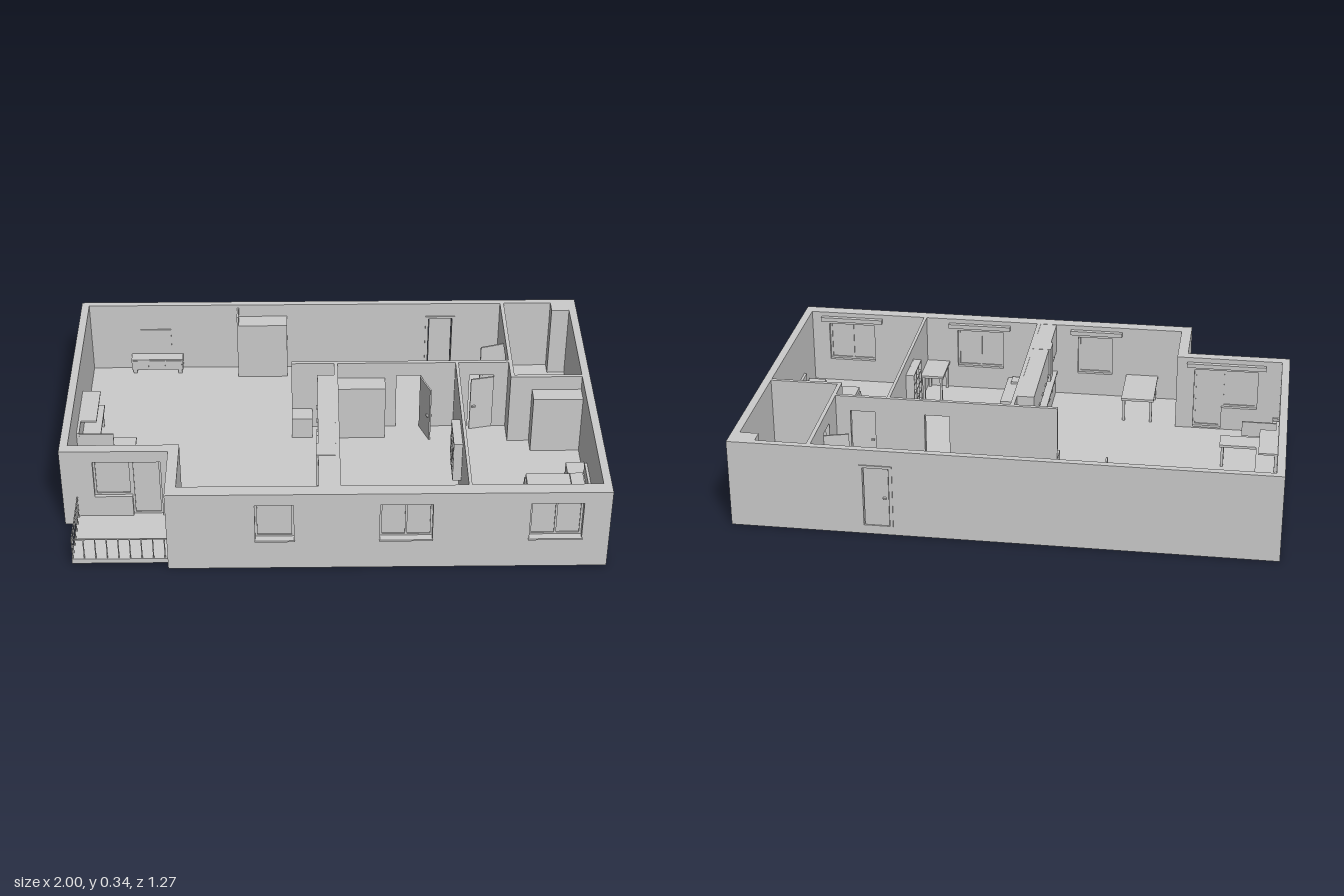
import * as THREE from 'three';

const H = 0.34, FLOOR = 0.035;

export function createModel() {
  const root = new THREE.Group();
  root.name = 'apartment';
  const mat = new THREE.MeshStandardMaterial({ color: 0xcccccc, flatShading: true });

  function group(name, parent = root) {
    const g = new THREE.Group();
    g.name = name;
    parent.add(g);
    return g;
  }
  // Box given by its limits on each axis
  function box(name, x0, x1, y0, y1, z0, z1, parent = root) {
    const m = new THREE.Mesh(new THREE.BoxGeometry(x1 - x0, y1 - y0, z1 - z0), mat);
    m.position.set((x0 + x1) / 2, (y0 + y1) / 2, (z0 + z1) / 2);
    m.name = name;
    parent.add(m);
    return m;
  }
  const polygon = (pts, Type = THREE.Shape) => new Type(pts.map(p => new THREE.Vector2(p[0], p[1])));
  const rect = (a, b, c, d) => [[a, c], [b, c], [b, d], [a, d]];

  // Wall along x with openings, given as polygons in (x, y)
  function wallX(name, x0, x1, z0, z1, holes = []) {
    const s = polygon(rect(x0, x1, 0, H));
    s.holes = holes.map(h => polygon([...h].reverse(), THREE.Path));
    const m = new THREE.Mesh(new THREE.ExtrudeGeometry(s, { depth: z1 - z0, bevelEnabled: false }), mat);
    m.position.z = z0;
    m.name = name;
    root.add(m);
  }
  // Wall along z with openings, given as polygons in (z, y)
  function wallZ(name, x0, x1, z0, z1, holes = []) {
    const s = polygon(rect(-z1, -z0, 0, H));
    s.holes = holes.map(h => polygon(h.map(p => [-p[0], p[1]]), THREE.Path));
    const geo = new THREE.ExtrudeGeometry(s, { depth: x1 - x0, bevelEnabled: false });
    const m = new THREE.Mesh(geo.rotateY(Math.PI / 2), mat);
    m.position.x = x0;
    m.name = name;
    root.add(m);
  }
  // Table with four legs
  function table(name, x0, x1, z0, z1, top, leg = 0.01) {
    const g = group(name);
    box('tableTop', x0, x1, top - 0.01, top, z0, z1, g);
    for (const x of [x0 + 0.006, x1 - leg - 0.006])
      for (const z of [z0 + 0.006, z1 - leg - 0.006])
        box('tableLeg', x, x + leg, FLOOR, top - 0.01, z, z + leg, g);
  }
  // Door leaf swinging from a hinge towards a free end
  function doorLeaf(name, hx, hz, ex, ez) {
    const g = group(name), len = Math.hypot(ex - hx, ez - hz);
    g.position.set(hx, 0, hz);
    g.rotation.y = -Math.atan2(ez - hz, ex - hx);
    box('leaf', 0, len, FLOOR + 0.003, 0.275, -0.003, 0.003, g);
    for (const s of [-1, 1]) box('handle', len - 0.02, len - 0.006, 0.145, 0.151, s * 0.007 - 0.004, s * 0.007 + 0.004, g);
  }

  // Floor slab
  const floorShape = polygon([[-1, 0.63], [1, 0.63], [1, -0.63], [-0.6, -0.63], [-0.6, -0.37], [-1, -0.37]]);
  const floor = new THREE.Mesh(new THREE.ExtrudeGeometry(floorShape, { depth: FLOOR - 0.001, bevelEnabled: false }).rotateX(-Math.PI / 2), mat);
  floor.position.y = 0.001;
  floor.name = 'floor';
  root.add(floor);

  // Outer walls
  const windows = [[-0.28, -0.14], [0.17, 0.36], [0.71, 0.9]];
  wallX('frontWall', -0.6, 1, 0.58, 0.63, windows.map(([a, b]) => rect(a, b, 0.13, 0.29)));
  wallX('balconyWall', -1, -0.56, 0.33, 0.37,
    [[[-0.88, 0.13], [-0.74, 0.13], [-0.74, 0.04], [-0.63, 0.04], [-0.63, 0.29], [-0.88, 0.29]]]);
  wallX('backWall', -1, 1, -0.63, -0.605, [rect(0.4, 0.51, FLOOR, 0.28)]);
  wallZ('rightSideWall', -1, -0.97, -0.605, 0.33);
  wallZ('leftSideWall', 0.97, 1, -0.605, 0.58);
  wallZ('stepWall', -0.6, -0.56, 0.37, 0.58);

  // Inner walls
  wallX('corridorWall', -0.15, 0.695, -0.2, -0.185, [rect(0.26, 0.355, FLOOR, 0.28), rect(0.545, 0.64, FLOOR, 0.28)]);
  wallZ('bathroomSideWall', 0.695, 0.71, -0.605, -0.085, [rect(-0.41, -0.315, FLOOR, 0.28)]);
  wallX('bathroomFrontWall', 0.71, 0.97, -0.1, -0.085);
  wallZ('kitchenWall', 0.015, 0.03, -0.185, 0.58);
  wallZ('bedroomWall', 0.488, 0.5, -0.185, 0.58);
  box('bathroomShaft', 0.9, 0.97, FLOOR, H, -0.605, -0.55);

  // Windows: frame, glass, sill
  function windowUnit(name, x0, x1, y0, y1, z, panes) {
    const g = group(name), t = 0.008;
    box('frameBottom', x0, x1, y0, y0 + t, z - 0.006, z + 0.006, g);
    box('frameTop', x0, x1, y1 - t, y1, z - 0.006, z + 0.006, g);
    for (let i = 0; i <= panes; i++) {
      const x = x0 + (x1 - x0 - t) * i / panes;
      box('framePost', x, x + t, y0 + t, y1 - t, z - 0.006, z + 0.006, g);
    }
    box('glass', x0 + t, x1 - t, y0 + t, y1 - t, z - 0.001, z + 0.001, g);
  }
  windows.forEach(([a, b], i) => {
    windowUnit('window', a, b, 0.13, 0.29, 0.6, i ? 2 : 1);
    box('windowSill', a - 0.003, b + 0.003, 0.124, 0.131, 0.6, 0.634);
  });
  windowUnit('balconyWindow', -0.88, -0.74, 0.13, 0.29, 0.35, 1);
  windowUnit('balconyDoor', -0.74, -0.63, 0.04, 0.29, 0.35, 1);

  // Curtain rails
  for (const [a, b, z] of [[-0.91, -0.6, 0.315], [-0.32, -0.11, 0.568], [0.14, 0.395, 0.568], [0.675, 0.93, 0.568]])
    box('curtainRail', a, b, 0.305, 0.322, z - 0.006, z + 0.012);

  // Balcony
  const balcony = group('balcony');
  box('balconySlab', -0.95, -0.6, 0.02, 0.04, 0.37, 0.62, balcony);
  box('frontRail', -0.948, -0.6, 0.126, 0.13, 0.612, 0.616, balcony);
  box('sideRail', -0.948, -0.944, 0.126, 0.13, 0.37, 0.616, balcony);
  for (let i = 0; i < 9; i++) {
    const x = -0.948 + i * 0.042;
    box('frontBaluster', x, x + 0.004, 0.04, 0.127, 0.612, 0.616, balcony);
  }
  for (let i = 0; i < 6; i++) {
    const z = 0.375 + i * 0.041;
    box('sideBaluster', -0.948, -0.944, 0.04, 0.127, z, z + 0.004, balcony);
  }

  // Doors
  const entry = group('entranceDoor');
  box('leaf', 0.41, 0.5, FLOOR, 0.27, -0.625, -0.612, entry);
  box('frameTop', 0.395, 0.515, 0.27, 0.28, -0.634, -0.6, entry);
  for (const x of [0.395, 0.503]) box('framePost', x, x + 0.012, FLOOR, 0.27, -0.634, -0.6, entry);
  box('handle', 0.418, 0.43, 0.145, 0.152, -0.634, -0.624, entry);
  doorLeaf('roomDoor', 0.355, -0.182, 0.39, -0.09);
  doorLeaf('bedroomDoor', 0.64, -0.182, 0.55, -0.163);
  doorLeaf('bathroomDoor', 0.695, -0.41, 0.605, -0.383);

  // Kitchen: base and wall cabinets with handles
  const kitchen = group('kitchen');
  box('baseCabinets', -0.048, 0.015, FLOOR, 0.125, -0.04, 0.58, kitchen);
  box('worktop', -0.055, 0.015, 0.125, 0.132, -0.04, 0.58, kitchen);
  box('wallCabinets', -0.05, 0.015, 0.22, H - 0.001, -0.11, 0.58, kitchen);
  box('cookerHood', -0.058, 0.015, 0.2, H, 0.33, 0.4, kitchen);
  for (let i = 0; i < 7; i++) {
    const z = 0.0 + i * 0.085;
    box('baseHandle', -0.053, -0.048, 0.105, 0.109, z, z + 0.025, kitchen);
    box('wallHandle', -0.055, -0.05, 0.235, 0.239, z - 0.05, z - 0.025, kitchen);
  }
  box('lowCabinet', -0.15, -0.07, FLOOR, 0.125, -0.185, -0.115, kitchen);
  table('diningTable', -0.47, -0.34, 0.35, 0.58, 0.135);

  // Living room
  const media = group('mediaConsole');
  box('consoleBody', -0.81, -0.6, 0.055, 0.105, -0.605, -0.56, media);
  for (const x of [-0.805, -0.62]) box('consoleFoot', x, x + 0.015, FLOOR, 0.055, -0.6, -0.565, media);
  for (let i = 0; i < 3; i++) box('drawer', -0.805 + i * 0.068, -0.741 + i * 0.068, 0.06, 0.1, -0.561, -0.557, media);
  box('wallScreen', -0.77, -0.645, 0.15, 0.225, -0.606, -0.6);
  box('wardrobe', -0.365, -0.17, FLOOR, 0.285, -0.605, -0.535);
  box('wardrobeSide', -0.372, -0.365, FLOOR, 0.325, -0.605, -0.535);
  table('desk', -0.968, -0.75, 0, 0.085, 0.13);
  table('sideDesk', -0.968, -0.89, -0.21, 0, 0.13);
  box('deskShelf', -0.97, -0.9, 0.2, 0.207, -0.2, 0.0);
  box('deskBack', -0.97, -0.96, 0.13, 0.207, -0.2, 0.078);
  box('deskScreen', -0.96, -0.83, 0.14, 0.2, 0.07, 0.077);
  const radiator = group('radiator');
  for (let i = 0; i < 9; i++) box('radiatorRib', -0.97, -0.946, 0.06, 0.13, 0.1 + i * 0.02, 0.115 + i * 0.02, radiator);
  box('radiatorCore', -0.966, -0.952, 0.065, 0.125, 0.1, 0.275, radiator);

  // Small room
  box('roomWardrobe', 0.03, 0.215, FLOOR, 0.27, -0.185, -0.11);
  box('singleBed', 0.03, 0.15, FLOOR, 0.09, 0.35, 0.58);
  box('bedPillow', 0.05, 0.13, 0.09, 0.1, 0.52, 0.57);
  table('writingDesk', 0.395, 0.488, 0.42, 0.58, 0.15);
  const shelf = group('bookshelf');
  box('shelfBack', 0.485, 0.488, 0.12, 0.29, 0.12, 0.275, shelf);
  for (let i = 0; i < 5; i++) box('shelfBoard', 0.455, 0.487, 0.12 + i * 0.0412, 0.125 + i * 0.0412, 0.12, 0.275, shelf);
  for (let i = 0; i < 4; i++) box('shelfDivider', 0.455, 0.487, 0.12, 0.289, 0.12 + i * 0.05, 0.125 + i * 0.05, shelf);

  // Bedroom
  box('bedBase', 0.735, 0.965, FLOOR, 0.075, 0.2, 0.4);
  box('mattress', 0.74, 0.96, 0.075, 0.095, 0.205, 0.395);
  box('headboard', 0.96, 0.97, FLOOR, 0.14, 0.2, 0.4);
  for (const z of [0.215, 0.31]) box('pillow', 0.905, 0.955, 0.095, 0.105, z, z + 0.075);
  box('nightstand', 0.9, 0.97, FLOOR, 0.09, 0.13, 0.198);
  box('nightstand', 0.895, 0.965, FLOOR, 0.09, 0.405, 0.46);
  box('bedroomWardrobe', 0.78, 0.97, FLOOR, 0.28, -0.085, -0.018);
  box('cornerCabinet', 0.5, 0.525, FLOOR, 0.18, 0.505, 0.58);

  return root;
}
